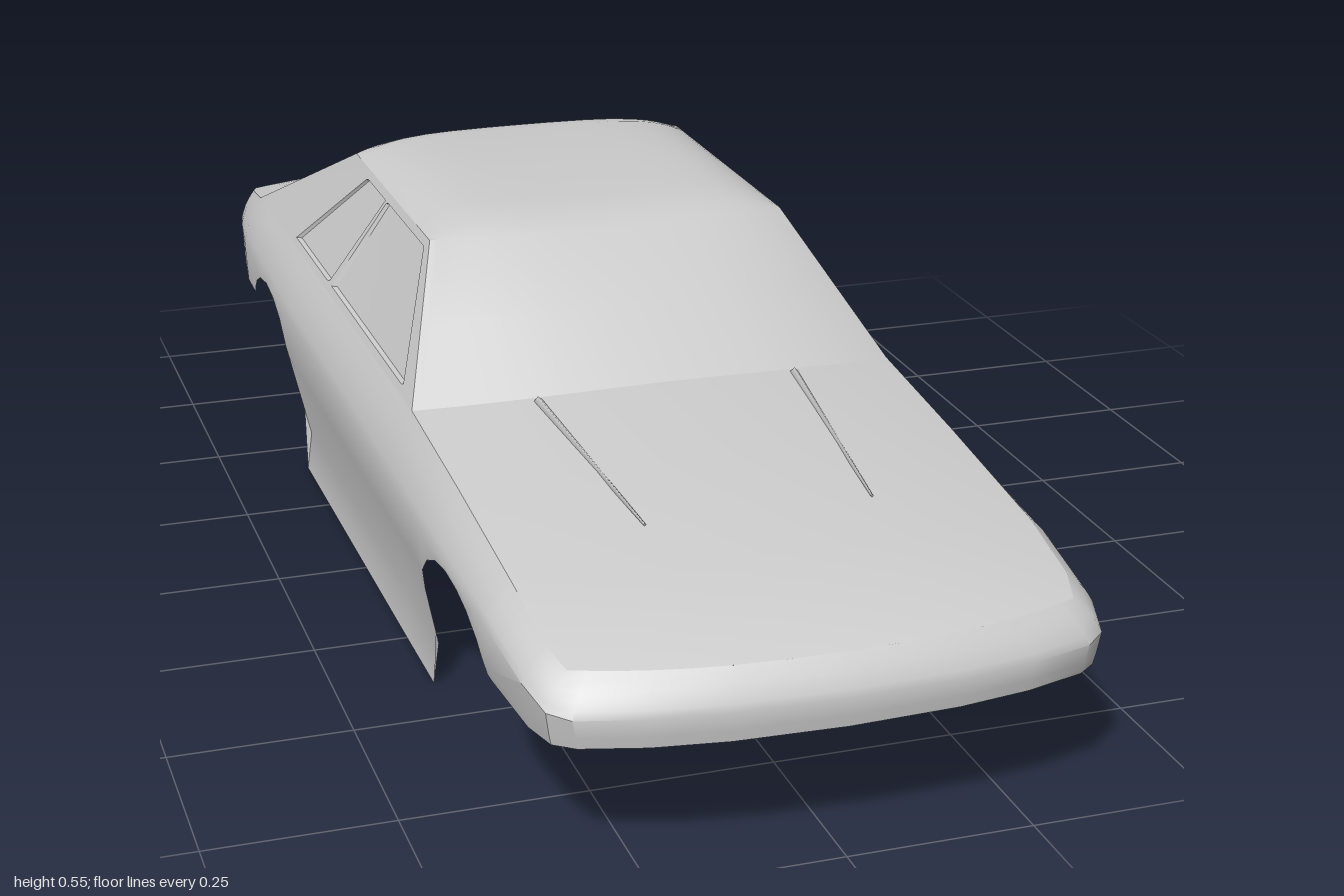
import * as THREE from 'three';
import { toCreasedNormals } from 'three/addons/utils/BufferGeometryUtils.js';

const material = new THREE.MeshStandardMaterial({ color: 0xcccccc, side: THREE.DoubleSide });
const lerp = THREE.MathUtils.lerp;

// Piecewise linear lookup in a table whose first column (z) falls from front to rear
function lookup(table, z) {
  let i = 0;
  while (i < table.length - 2 && z < table[i + 1][0]) i++;
  const a = table[i], b = table[i + 1];
  const t = THREE.MathUtils.clamp((a[0] - z) / (a[0] - b[0]), 0, 1);
  return a.map((v, k) => lerp(v, b[k], t));
}

// Surface through a grid of points, with sharp edges kept
function surface(name, grid, crease = 0.5) {
  const n = grid[0].length, index = [];
  for (let i = 0; i < grid.length - 1; i++) {
    for (let j = 0; j < n - 1; j++) {
      const a = i * n + j, b = a + 1, c = b + n, d = a + n;
      index.push(a, b, d, b, c, d);
    }
  }
  const geo = new THREE.BufferGeometry();
  geo.setAttribute('position', new THREE.Float32BufferAttribute(grid.flat(2), 3));
  geo.setIndex(index);
  const mesh = new THREE.Mesh(toCreasedNormals(geo, crease), material);
  mesh.name = name;
  return mesh;
}

// Outline in plan and shoulder line: z, outline x, shoulder x, y, z, height of widest point
const outline = [
  [0.998, 0, 0, 0.262, 0.968, 0.215], [0.992, 0.15, 0.139, 0.262, 0.962, 0.215],
  [0.978, 0.25, 0.234, 0.262, 0.945, 0.215], [0.955, 0.335, 0.305, 0.262, 0.9245, 0.215],
  [0.935, 0.362, 0.33, 0.262, 0.915, 0.22], [0.88, 0.376, 0.342, 0.275, 0.87, 0.235],
  [0.75, 0.385, 0.347, 0.3, 0.75, 0.252], [0.5, 0.39, 0.35, 0.327, 0.5, 0.255],
  [0.26, 0.392, 0.353, 0.348, 0.26, 0.255], [-0.4, 0.396, 0.357, 0.35, -0.4, 0.265],
  [-0.8, 0.388, 0.357, 0.345, -0.8, 0.268], [-0.9, 0.374, 0.35, 0.328, -0.89, 0.27],
  [-0.945, 0.365, 0.345, 0.32, -0.93, 0.27], [-0.975, 0.35, 0.335, 0.313, -0.965, 0.275],
  [-0.99, 0.28, 0.268, 0.318, -0.974, 0.28], [-0.998, 0.15, 0.14, 0.3245, -0.984, 0.285],
  [-1, 0, 0, 0.327, -0.986, 0.285],
];

// Lower edge with the wheel arches: z, y
const lowerEdge = [
  [1, 0.175], [0.73, 0.175], [0.72, 0.192], [0.7, 0.21], [0.66, 0.232], [0.62, 0.243], [0.57, 0.247],
  [0.52, 0.24], [0.47, 0.219], [0.435, 0.19], [0.413, 0.15], [0.403, 0.08], [0.4, 0],
  [-0.41, 0], [-0.415, 0.1], [-0.425, 0.155], [-0.445, 0.2], [-0.48, 0.238], [-0.53, 0.257],
  [-0.59, 0.262], [-0.65, 0.252], [-0.69, 0.235], [-0.72, 0.212], [-0.73, 0.2], [-1, 0.2],
];

// How far the side tucks in below its widest point, by height
function tuck(y) {
  if (y > 0.19) return Math.max(0, 0.25 - y) * 0.08;
  if (y > 0.06) return lerp(0.034, 0.005, (y - 0.06) / 0.13);
  return lerp(0.026, 0.034, y / 0.06);
}

// One vertical strip of the body wall, from the shoulder down
function wallStrip(z, side) {
  const [, px, tx, ty, tz, wide] = lookup(outline, z);
  const bottom = lookup(lowerEdge, z)[1];
  const strip = [];
  for (let k = 0; k <= 5; k++) {
    const t = k / 5, h = t + 0.13 * Math.sin(Math.PI * t);
    strip.push([side * lerp(tx, px, h), lerp(ty, wide, t), lerp(tz, z, h)]);
  }
  for (const level of [0.19, 0.06, 0]) {
    const y = Math.max(level, bottom), inset = tuck(y);
    const sx = px * (1 - inset / 0.39);
    strip.push([side * sx, y, z - Math.sign(z) * (Math.abs(z) > 0.9 ? inset * 0.5 : 0)]);
  }
  return strip;
}

// Crowned panel; each row: centre y, centre z, edge x, edge y, edge z, crown power
const across = [0, 0.2, 0.42, 0.57, 0.71, 0.8, 0.87, 0.924, 0.965, 1];
const acrossFull = [...across.slice(1).reverse().map((u) => -u), ...across];
function panel(name, rows) {
  return surface(name, rows.map(([cy, cz, ex, ey, ez, q]) => acrossFull.map((s) => {
    const u = Math.abs(s);
    return [ex * s, lerp(cy, ey, u ** q), lerp(cz, ez, u ** 2.5)];
  })));
}

// Cabin side between pillars and roof, with shallow window recesses
function cabinSide(name, side) {
  const us = [0, 0.055, 0.065, 0.3, 0.485, 0.495, 0.515, 0.525, 0.74, 0.75, 1];
  const vs = [1, 0.93, 0.915, 0.5, 0.075, 0.06, 0];
  const grid = us.map((u) => vs.map((v) => {
    const foot = lookup(outline, lerp(0.26, -0.8, u));
    const glass = v > 0.07 && v < 0.92 && ((u > 0.06 && u < 0.49) || (u > 0.52 && u < 0.745));
    return [
      side * (lerp(foot[2], 0.268, v) - (glass ? 0.005 : 0)),
      lerp(foot[3], 0.518, v),
      lerp(foot[4], lerp(0.04, -0.43, u), v),
    ];
  }));
  return surface(name, side > 0 ? grid : grid.reverse(), 0.3);
}

// Tapered crease on the hood
function hoodRidge(name, side) {
  const a = new THREE.Vector3(side * 0.155, 0.327, 0.68), b = new THREE.Vector3(side * 0.188, 0.364, 0.315);
  const dir = b.clone().sub(a);
  const mesh = new THREE.Mesh(new THREE.CylinderGeometry(0.007, 0.002, dir.length(), 4), material);
  mesh.position.copy(a).add(b).multiplyScalar(0.5);
  mesh.quaternion.setFromUnitVectors(new THREE.Vector3(0, 1, 0), dir.normalize());
  mesh.name = name;
  return mesh;
}

export function createModel() {
  const car = new THREE.Group();
  car.name = 'carBodyShell';

  // Wall running right round the car: nose, flanks with arches, tail
  const zs = [...new Set([...outline, ...lowerEdge].map((r) => r[0]))]
    .filter((z) => z <= 0.998).sort((a, b) => b - a);
  const left = zs.map((z) => wallStrip(z, 1));
  const right = zs.map((z) => wallStrip(z, -1)).reverse().slice(1);
  car.add(surface('bodyWall', [...left, ...right], 0.6));

  // Top panels from front to rear
  const hoodBase = [0.373, 0.32, 0.353, 0.348, 0.26, 2];
  const bootTop = [0.364, -0.79, 0.357, 0.345, -0.8, 3];
  car.add(panel('hood', [
    [0.262, 0.968, 0.33, 0.262, 0.915, 2],
    [0.285, 0.915, 0.342, 0.275, 0.87, 2],
    [0.315, 0.785, 0.347, 0.3, 0.75, 2],
    [0.348, 0.54, 0.35, 0.327, 0.5, 2],
    hoodBase,
  ]));
  car.add(panel('windscreenRoofAndRearWindow', [
    hoodBase,
    [0.451, 0.203, 0.3105, 0.433, 0.15, 3],
    [0.527, 0.088, 0.268, 0.518, 0.04, 5],
    [0.54, 0.05, 0.268, 0.518, 0.015, 6],
    [0.546, -0.03, 0.268, 0.518, -0.04, 6],
    [0.547, -0.2, 0.268, 0.518, -0.2, 6],
    [0.545, -0.4, 0.268, 0.518, -0.39, 6],
    [0.54, -0.44, 0.268, 0.518, -0.41, 6],
    [0.528, -0.48, 0.268, 0.518, -0.43, 6],
    [0.449, -0.635, 0.3125, 0.4315, -0.615, 4],
    bootTop,
  ]));
  car.add(panel('bootLid', [
    bootTop,
    [0.346, -0.9, 0.35, 0.328, -0.89, 3],
    [0.337, -0.945, 0.345, 0.32, -0.93, 2.5],
    [0.327, -0.986, 0.335, 0.313, -0.965, 2],
  ]));

  for (const [label, side] of [['left', 1], ['right', -1]]) {
    car.add(cabinSide(label + 'CabinSide', side), hoodRidge(label + 'HoodRidge', side));
  }
  return car;
}
